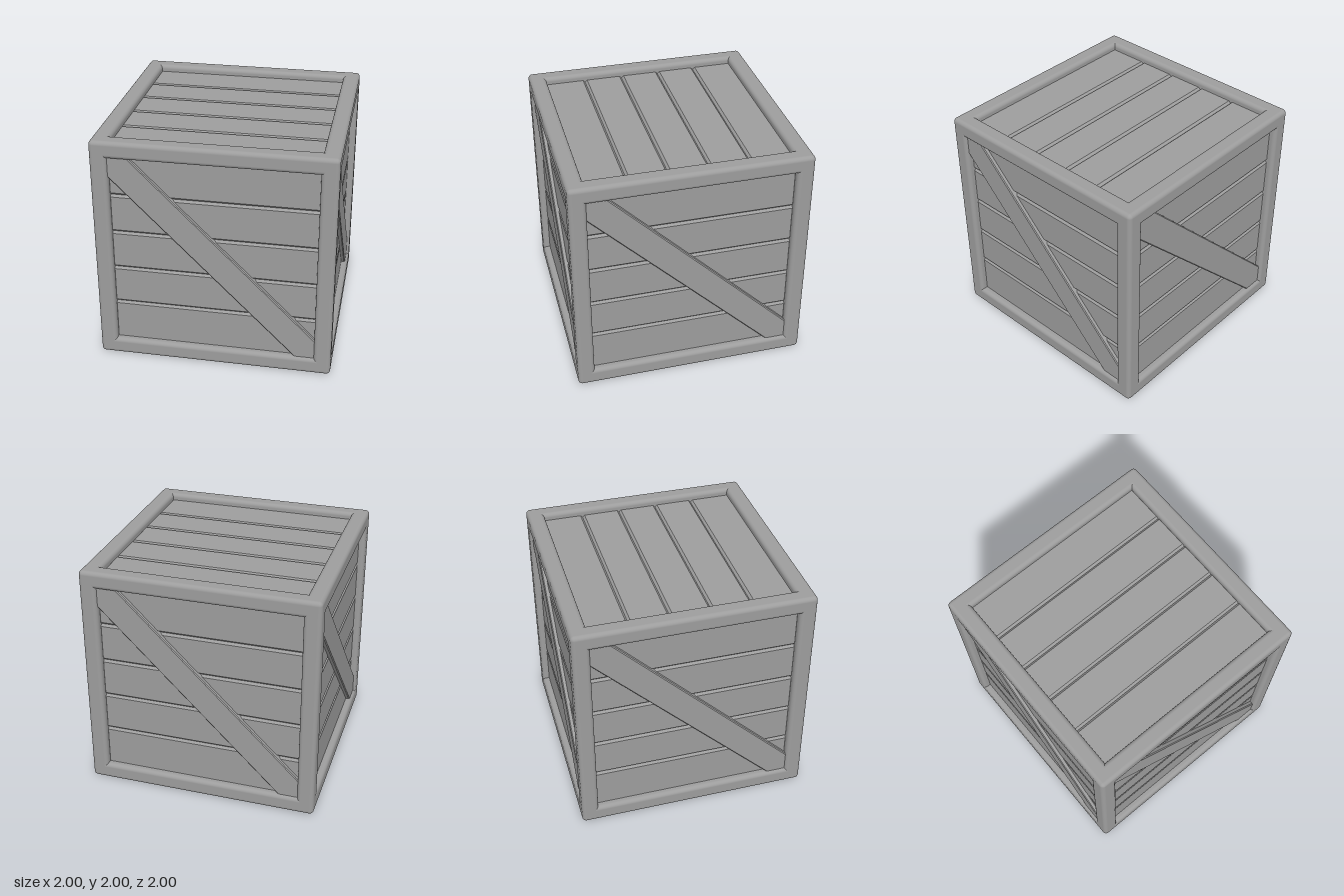
import * as THREE from 'three';
import { RoundedBoxGeometry } from 'three/addons/geometries/RoundedBoxGeometry.js';

const BEAM = 0.145;   // frame beam thickness
const PITCH = 0.338;  // plank spacing
const PANEL = 0.94;   // plank surface, measured from the crate centre
const BRACE = 0.975;  // brace surface

const material = new THREE.MeshStandardMaterial({ color: 0x9d9d9d });

function add(parent, name, geometry) {
  const mesh = new THREE.Mesh(geometry, material);
  mesh.name = name;
  parent.add(mesh);
  return mesh;
}

// Flat board with chamfered rims; the outline is its full size and its outer face lies at z = front
function boardGeometry(points, front, thickness, bevel) {
  const shape = new THREE.Shape(points.map(([x, y]) => new THREE.Vector2(x, y)));
  const geometry = new THREE.ExtrudeGeometry(shape, {
    depth: thickness - 2 * bevel,
    bevelEnabled: true, bevelSegments: 1,
    bevelSize: bevel, bevelThickness: bevel, bevelOffset: -bevel,
  });
  return geometry.translate(0, 0, front - thickness + bevel);
}

// One face of the crate, built facing +z
function createFace(name, braced) {
  const face = new THREE.Group();
  face.name = name;

  // Five planks across, the outer two running on beneath the frame
  const w = 0.872;
  for (let i = -2; i <= 2; i++) {
    const bottom = i === -2 ? -0.88 : (i - 0.5) * PITCH + 0.004;
    const top = i === 2 ? 0.88 : (i + 0.5) * PITCH + 0.004;
    const outline = [[-w, bottom], [w, bottom], [w, top], [-w, top]];
    add(face, 'plank', boardGeometry(outline, PANEL, 0.07, 0.019));
  }

  // Diagonal brace, its ends cut square to the frame
  if (braced) {
    const e = 0.872, c = 0.173;
    const outline = [[-e, e], [-e, e - c], [e - c, -e], [e, -e], [e, c - e], [c - e, e]];
    add(face, 'diagonalBrace', boardGeometry(outline, BRACE, 0.07, 0.008));
  }
  return face;
}

export function createModel() {
  const crate = new THREE.Group();
  crate.name = 'crate';
  const body = new THREE.Group();
  body.name = 'crateBody';
  body.position.y = 1;
  crate.add(body);

  // Twelve rounded frame beams, four along each axis
  const frame = new THREE.Group();
  frame.name = 'frame';
  body.add(frame);
  const names = ['crossBeam', 'cornerPost', 'sideBeam'];
  const offset = 1 - BEAM / 2;
  for (let axis = 0; axis < 3; axis++) {
    const size = [BEAM, BEAM, BEAM];
    size[axis] = 2;
    const geometry = new RoundedBoxGeometry(...size, 4, 0.035);
    for (const a of [-offset, offset]) {
      for (const b of [-offset, offset]) {
        const position = [0, 0, 0];
        position[(axis + 1) % 3] = a;
        position[(axis + 2) % 3] = b;
        add(frame, names[axis], geometry).position.set(...position);
      }
    }
  }

  // Core closing the bottoms of the plank grooves
  add(body, 'innerBox', new THREE.BoxGeometry(1.82, 1.82, 1.82));

  // Four braced sides, then the plain top and bottom
  ['frontFace', 'leftFace', 'backFace', 'rightFace'].forEach((name, i) => {
    const face = createFace(name, true);
    face.rotation.y = i * Math.PI / 2;
    body.add(face);
  });
  [['topFace', -1], ['bottomFace', 1]].forEach(([name, turn]) => {
    const face = createFace(name, false);
    face.rotation.x = turn * Math.PI / 2;
    body.add(face);
  });

  return crate;
}
